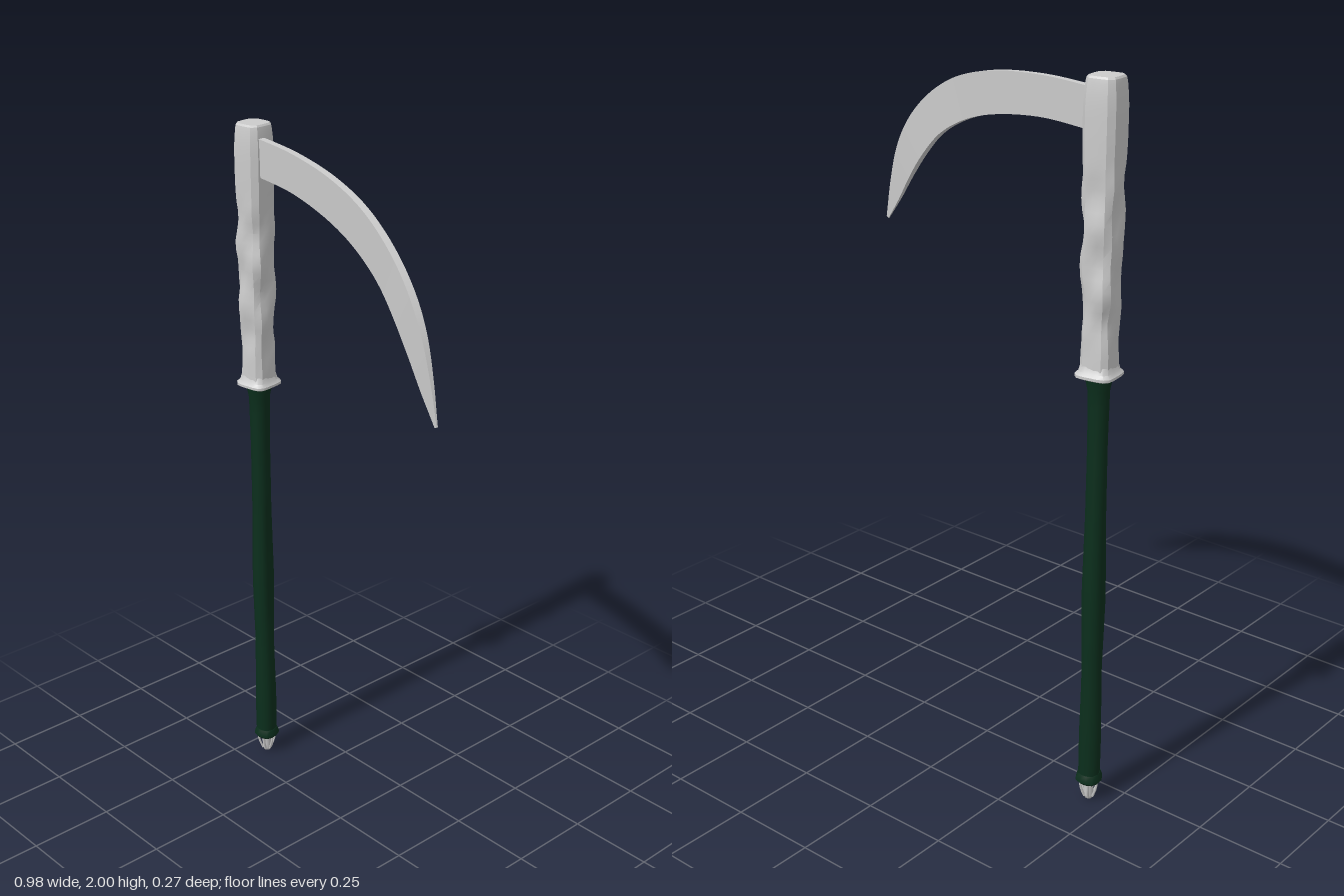
import * as THREE from 'three';
import { toCreasedNormals } from 'three/addons/utils/BufferGeometryUtils.js';

const grey = new THREE.MeshStandardMaterial({ color: 0xcccccc });
const green = new THREE.MeshStandardMaterial({ color: 0x0b2e1c });

// Skin a list of equal-length rings of points and close both ends.
function loft(rings, crease) {
  const n = rings[0].length, pos = [], idx = [];
  rings.forEach((ring) => ring.forEach((p) => pos.push(...p)));
  for (let i = 0; i < rings.length - 1; i++) {
    for (let j = 0; j < n; j++) {
      const a = i * n + j, b = i * n + ((j + 1) % n);
      idx.push(a, b, b + n, a, b + n, a + n);
    }
  }
  const last = (rings.length - 1) * n;
  for (let j = 1; j < n - 1; j++) {
    idx.push(0, j + 1, j, last, last + j, last + j + 1);
  }
  const g = new THREE.BufferGeometry();
  g.setAttribute('position', new THREE.Float32BufferAttribute(pos, 3));
  g.setIndex(idx);
  return toCreasedNormals(g, crease);
}

// Rounded-square ring: half-width w, exponent e (2 = circle), turned by twist.
function ring(y, w, e, twist, sides, dent = () => 1) {
  return Array.from({ length: sides }, (_, j) => {
    const a = ((j + 0.5) / sides) * Math.PI * 2;
    const c = Math.cos(a), s = Math.sin(a);
    const r = w * dent(a, y) / Math.pow(Math.abs(c) ** e + Math.abs(s) ** e, 1 / e);
    return [r * Math.cos(a + twist), y, -r * Math.sin(a + twist)];
  });
}

// Linear lookup in a list of [y, value] pairs.
function lookup(list, y) {
  const i = Math.max(1, list.findIndex((p) => p[0] >= y));
  const [y0, v0] = list[i - 1], [y1, v1] = list[i];
  return THREE.MathUtils.lerp(v0, v1, (y - y0) / (y1 - y0));
}

function add(parent, name, geometry, material) {
  const mesh = new THREE.Mesh(geometry, material);
  mesh.name = name;
  parent.add(mesh);
  return mesh;
}

export function createModel() {
  const model = new THREE.Group();
  model.name = 'scythe';
  const pole = new THREE.Group();
  pole.name = 'pole';
  pole.position.set(-0.434, 0, -0.08);
  model.add(pole);

  // Dark shaft with gentle swellings
  const shaftWidths = [[0.06, 0.029], [0.2, 0.03], [0.4, 0.026], [0.62, 0.03], [0.85, 0.026], [1.08, 0.026], [1.26, 0.029]];
  const shaft = [];
  for (let i = 0; i <= 24; i++) {
    const y = 0.06 + i * 0.05;
    shaft.push(ring(y, lookup(shaftWidths, y), 2.6, 0.12 + 0.1 * Math.sin(y * 7), 12));
  }
  add(pole, 'shaft', loft(shaft, 0.9), green);

  // Collar at the foot of the shaft
  const collar = [[0.055, 0.029], [0.062, 0.035], [0.07, 0.035], [0.085, 0.03]]
    .map(([y, w]) => ring(y, w, 2.6, 0.12, 12));
  add(pole, 'footCollar', loft(collar, 0.7), green);

  // Pointed foot: a core with prongs leaning in around it
  add(pole, 'footCore', new THREE.LatheGeometry(
    [[0, 0], [0.01, 0.001], [0.014, 0.012], [0.013, 0.03], [0.017, 0.06]].map((p) => new THREE.Vector2(...p)), 12), grey);
  for (let k = 0; k < 6; k++) {
    const a = (k / 6) * Math.PI * 2;
    const path = new THREE.CatmullRomCurve3([[0.028, 0.062], [0.023, 0.035], [0.013, 0.008]]
      .map(([r, y]) => new THREE.Vector3(r * Math.cos(a), y, r * Math.sin(a))));
    add(pole, 'footProng', new THREE.TubeGeometry(path, 6, 0.0035, 5), grey);
  }

  // Head: rounded-square grip, carved with uneven facets in its lower half
  const headWidths = [[1.255, 0.043], [1.32, 0.041], [1.4, 0.037], [1.46, 0.045], [1.54, 0.041], [1.62, 0.046],
    [1.7, 0.042], [1.77, 0.045], [1.85, 0.047], [1.94, 0.047], [1.985, 0.043], [1.995, 0.041], [2, 0.037]];
  const carve = (a, y) => {
    const strength = THREE.MathUtils.smoothstep(y, 1.28, 1.42) * (1 - THREE.MathUtils.smoothstep(y, 1.7, 1.82));
    return 1 + strength * (0.08 * Math.sin(2 * a + y * 41) + 0.07 * Math.sin(3 * a - y * 29));
  };
  const head = [];
  for (let i = 0; i < 26; i++) {
    const y = 1.255 + i * 0.028;
    head.push(ring(y, lookup(headWidths, y), 4.5, 0.1 + 0.12 * carve(0, y) - 0.12, 16, carve));
  }
  for (const y of [1.985, 1.995, 2]) head.push(ring(y, lookup(headWidths, y), 4.5, 0.1, 16));
  add(pole, 'head', loft(head, 0.45), grey);

  // Flared lip under the head
  const lip = [[1.245, 0.046], [1.249, 0.053], [1.256, 0.053], [1.264, 0.045], [1.285, 0.04]]
    .map(([y, w]) => ring(y, w, 4.5, 0.14, 24));
  add(pole, 'headLip', loft(lip, 0.7), grey);

  // Curved blade: spine and cutting edge as curves, thinning to the tip
  const edge = (pts) => new THREE.CatmullRomCurve3(pts.map(([x, y]) => new THREE.Vector3((x + 0.434) / 0.974, y, 0)));
  const spine = edge([[-0.41, 1.965], [-0.2, 1.965], [0, 1.945], [0.15, 1.905], [0.27, 1.84],
    [0.36, 1.76], [0.42, 1.67], [0.46, 1.56], [0.486, 1.457]]);
  const cutting = edge([[-0.41, 1.86], [-0.2, 1.86], [0, 1.832], [0.12, 1.795], [0.22, 1.742],
    [0.295, 1.675], [0.36, 1.6], [0.42, 1.52], [0.477, 1.452]]);
  const sections = [];
  for (let i = 0; i <= 40; i++) {
    const t = i / 40, s = spine.getPoint(t), c = cutting.getPoint(t);
    const h = 0.01 * (1 - 0.85 * THREE.MathUtils.smoothstep(t, 0.65, 1.05));
    sections.push([[s.x, s.y, h], [c.x, c.y, h * 0.85], [c.x, c.y, -h * 0.85], [s.x, s.y, -h]]);
  }
  const blade = add(pole, 'blade', loft(sections, 0.6), grey);
  blade.rotation.y = -0.227;
  return model;
}
